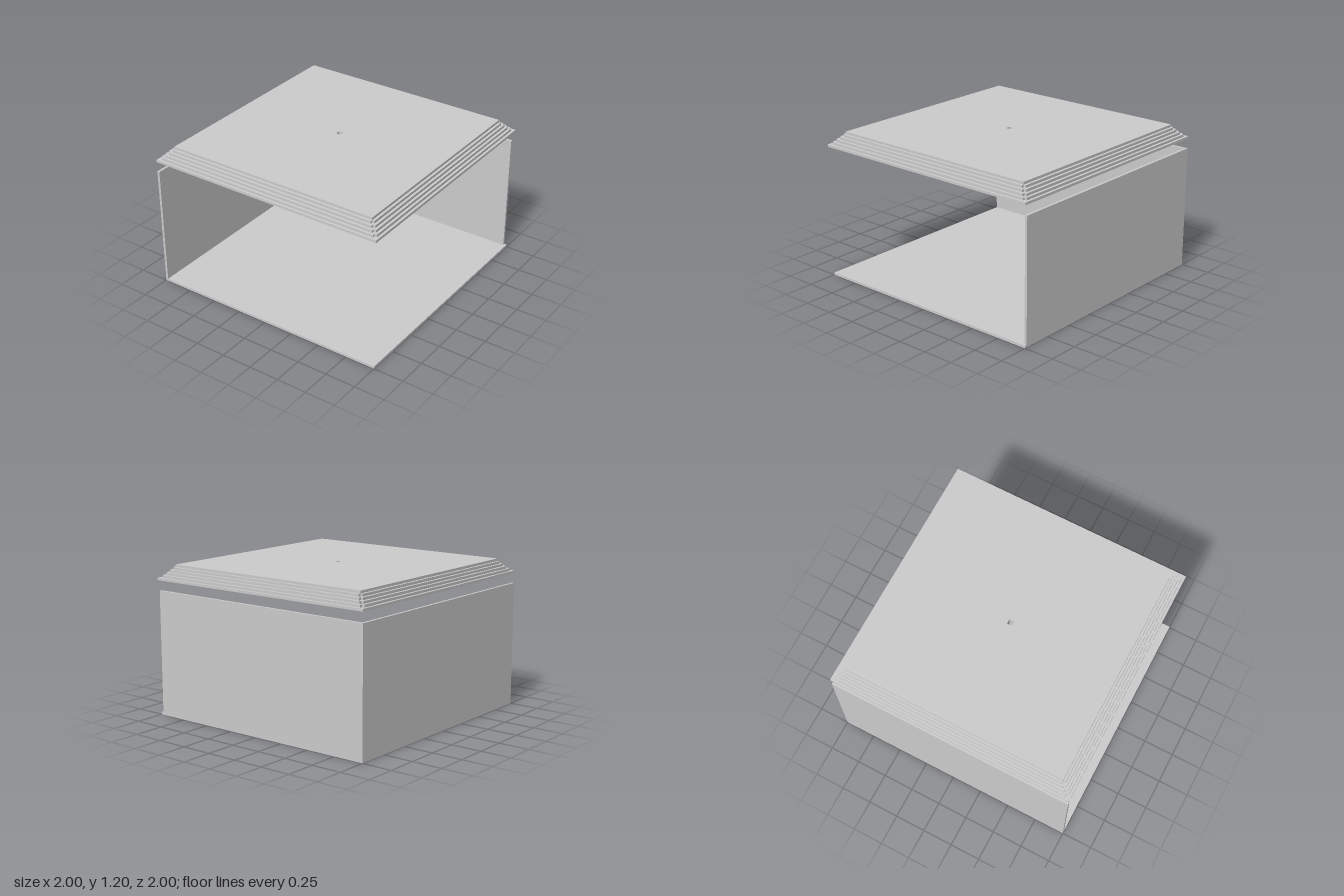
import * as THREE from 'three';

const T = 0.02; // thickness of every slab and wall
const material = new THREE.MeshStandardMaterial({ color: 0xcccccc, flatShading: true });

function panel(name, [x0, x1], [y0, y1], [z0, z1]) {
  const mesh = new THREE.Mesh(new THREE.BoxGeometry(x1 - x0, y1 - y0, z1 - z0), material);
  mesh.position.set((x0 + x1) / 2, (y0 + y1) / 2, (z0 + z1) / 2);
  mesh.name = name;
  return mesh;
}

// Square outline whose corners may be notched by one step
function outline(half, notch) {
  const h = half, n = half - notch;
  const points = notch
    ? [[h, -n], [h, n], [n, n], [n, h], [-n, h], [-n, n], [-h, n], [-h, -n], [-n, -n], [-n, -h], [n, -h], [n, -n]]
    : [[h, -h], [h, h], [-h, h], [-h, -h]];
  return points.map(([x, y]) => new THREE.Vector2(x, y));
}

// One flat layer of the roof, pierced by the small square centre hole
function roofLayer(half, notch, y) {
  const shape = new THREE.Shape(outline(half, notch));
  shape.holes.push(new THREE.Path(outline(T, 0).reverse()));
  const geometry = new THREE.ExtrudeGeometry(shape, { depth: T, bevelEnabled: false });
  geometry.rotateX(-Math.PI / 2);
  const mesh = new THREE.Mesh(geometry, material);
  mesh.position.y = y;
  return mesh;
}

export function createModel() {
  const model = new THREE.Group();
  model.name = 'openRoom';

  // Floor and the two standing walls
  model.add(panel('floor', [-1, 1], [0, T], [-1, 1]));
  model.add(panel('rightWall', [-1, -1 + T], [T, 1], [-1, 1]));
  model.add(panel('backWall', [-1 + T, 1 - T], [T, 1], [-1, -1 + T]));

  // Stepped roof floating above the walls
  const roof = new THREE.Group();
  roof.name = 'steppedRoof';
  const layers = 6;
  for (let i = 0; i < layers; i++) {
    const notch = i > 0 && i < layers - 1 ? T : 0;
    const layer = roofLayer(1 - i * T, notch, 1.08 + i * T);
    layer.name = `roofLayer${i + 1}`;
    roof.add(layer);
  }
  model.add(roof);
  return model;
}
